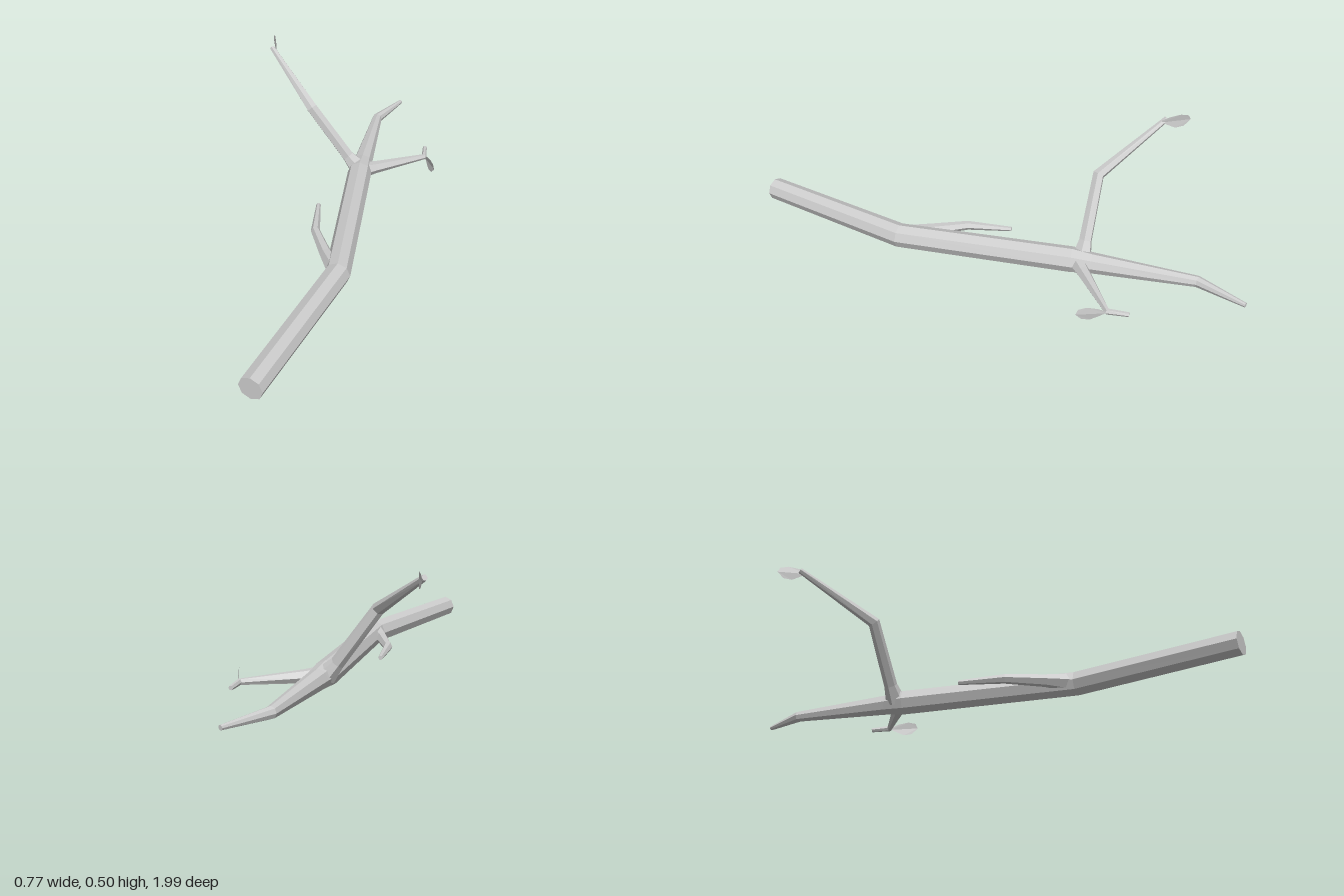
import * as THREE from 'three';

const material = new THREE.MeshStandardMaterial({ color: 0xcccccc, flatShading: true });
const leafMaterial = new THREE.MeshStandardMaterial({ color: 0xcccccc, flatShading: true, side: THREE.DoubleSide });

// Tapered, mitred limb through stations [x, y, z, radius], closed at both ends
function limb(name, stations, sides, up = new THREE.Vector3(0, 1, 0)) {
  const centres = stations.map(([x, y, z]) => new THREE.Vector3(x, y, z));
  const last = centres.length - 1;
  const positions = [];
  const indices = [];
  centres.forEach((c, i) => {
    const before = c.clone().sub(centres[Math.max(i - 1, 0)]).normalize();
    const after = centres[Math.min(i + 1, last)].clone().sub(c).normalize();
    const t = before.clone().add(after).normalize();
    const u = up.clone().cross(t).normalize();
    const v = t.clone().cross(u);
    for (let j = 0; j < sides; j++) {
      const a = (j / sides) * Math.PI * 2;
      const p = c.clone()
        .addScaledVector(u, Math.cos(a) * stations[i][3])
        .addScaledVector(v, Math.sin(a) * stations[i][3]);
      positions.push(p.x, p.y, p.z);
    }
  });
  const first = positions.length / 3;
  for (const c of [centres[0], centres[last]]) positions.push(c.x, c.y, c.z);
  for (let j = 0; j < sides; j++) {
    const k = (j + 1) % sides;
    for (let i = 0; i < last; i++) {
      const a = i * sides, b = a + sides;
      indices.push(a + j, a + k, b + k, a + j, b + k, b + j);
    }
    indices.push(first, k, j, first + 1, last * sides + j, last * sides + k);
  }
  const geometry = new THREE.BufferGeometry();
  geometry.setAttribute('position', new THREE.Float32BufferAttribute(positions, 3));
  geometry.setIndex(indices);
  geometry.computeVertexNormals();
  const mesh = new THREE.Mesh(geometry, material);
  mesh.name = name;
  return mesh;
}

// Thin upright leaf growing from a base point along a horizontal direction
function leaf(name, base, dx, dz) {
  const outline = [[0, -0.004], [0.025, -0.016], [0.055, -0.028], [0.088, -0.021],
    [0.113, 0.006], [0.103, 0.025], [0.072, 0.03], [0.03, 0.019], [0, 0.005]];
  const shape = new THREE.Shape(outline.map(([x, y]) => new THREE.Vector2(x, y)));
  const geometry = new THREE.ShapeGeometry(shape);
  // Gentle cupping across the blade
  const p = geometry.attributes.position;
  for (let i = 0; i < p.count; i++) p.setZ(i, Math.abs(p.getY(i)) * 0.15);
  geometry.computeVertexNormals();
  const mesh = new THREE.Mesh(geometry, leafMaterial);
  mesh.name = name;
  mesh.position.set(...base);
  mesh.rotation.y = Math.atan2(-dz, dx);
  return mesh;
}

export function createModel() {
  const model = new THREE.Group();
  model.name = 'branch';

  // Main stem, bending twice towards its tip
  model.add(limb('mainStem', [
    [-0.018, 0.055, 0.985, 0.045],
    [0.128, 0.053, 0.36, 0.048],
    [0.075, 0.055, -0.33, 0.05],
    [0.073, 0.055, -0.41, 0.041],
    [0.066, 0.057, -0.81, 0.022],
    [0.147, 0.057, -0.993, 0.009],
  ], 8));

  // Tall side branch, rising to the right
  model.add(limb('tallBranch', [
    [0.06, 0.06, -0.365, 0.04],
    [0.015, 0.11, -0.367, 0.026],
    [-0.14, 0.318, -0.372, 0.024],
    [-0.367, 0.476, -0.583, 0.011],
  ], 6, new THREE.Vector3(0, 0, 1)));

  // Level side branch with a short hooked tip
  model.add(limb('levelBranch', [
    [0.08, 0.055, -0.35, 0.034],
    [0.135, 0.055, -0.388, 0.026],
    [0.325, 0.053, -0.522, 0.012],
    [0.318, 0.053, -0.6, 0.009],
  ], 6));

  // Small twig at the first bend
  model.add(limb('smallTwig', [
    [0.11, 0.055, 0.33, 0.034],
    [0.06, 0.055, 0.255, 0.024],
    [-0.012, 0.055, 0.12, 0.018],
    [-0.04, 0.055, -0.055, 0.009],
  ], 6));

  model.add(leaf('tallBranchLeaf', [-0.344, 0.474, -0.568], -0.04, -0.1));
  model.add(leaf('levelBranchLeaf', [0.332, 0.053, -0.518], 0.052, 0.102));
  return model;
}
